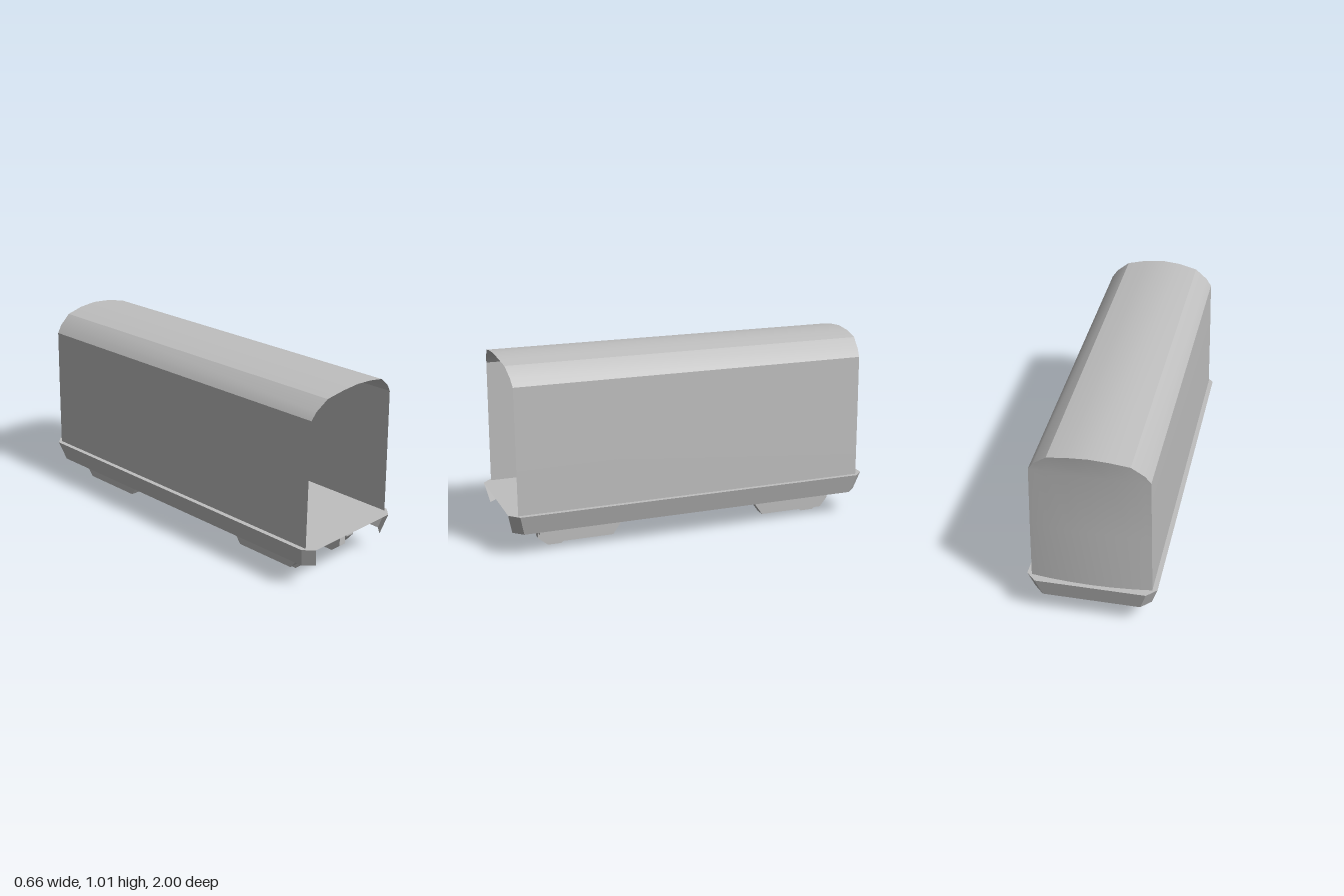
import * as THREE from 'three';
import { toCreasedNormals } from 'three/addons/utils/BufferGeometryUtils.js';

// Surface through rows of [x, y, z] points
function loft(rows, crease = 0.35) {
  const n = rows[0].length, index = [];
  for (let r = 0; r < rows.length - 1; r++) {
    for (let c = 0; c < n - 1; c++) {
      const a = r * n + c, b = a + n;
      index.push(a, a + 1, b, a + 1, b + 1, b);
    }
  }
  const g = new THREE.BufferGeometry();
  g.setAttribute('position', new THREE.Float32BufferAttribute(rows.flat(2), 3));
  g.setIndex(index);
  return toCreasedNormals(g, crease);
}

export function createModel() {
  const group = new THREE.Group();
  const grey = new THREE.MeshStandardMaterial({ color: 0xbfbfbf, side: THREE.DoubleSide });
  grey.name = 'plain grey';
  const add = (name, geometry) => {
    const mesh = new THREE.Mesh(geometry, grey);
    mesh.name = name;
    group.add(mesh);
    return mesh;
  };

  // Side walls and arched roof in one shell, open at the front
  const half = [[0.293, 0.89], [0.265, 0.93], [0.2, 0.98], [0.1, 1.0]];
  const mirror = (pts) => pts.map(([x, y]) => [-x, y]);
  const arch = [...mirror(half), [0, 1.008], ...[...half].reverse()];
  const wall = [[0.305, 0.23], [0.3, 0.56]];
  const profile = [...mirror(wall), ...arch, ...[...wall].reverse()];
  const endZ = (x, bulge = 0.03, w = 0.293) => 0.955 + bulge * Math.max(0, 1 - (x / w) ** 2);
  add('bodyShell', loft([-1, 1].map((s) => profile.map(([x, y]) => [x, y, s * endZ(x)]))));

  // Bowed rear wall, its top band leaning out to meet the roof
  const rearRows = [[0.23, 0.305, 0.022], [0.56, 0.3, 0.02], [0.89, 0.293, 0.012]].map(
    ([y, w, bulge]) => arch.map(([x]) => [x / 0.293 * w, y, -endZ(x, bulge)]));
  rearRows.push(arch.map(([x, y]) => [x, y, -endZ(x)]));
  add('rearWall', loft(rearRows.map((row) => row.reverse())));

  // Floor with cut corners
  const outline = [[0.28, 1], [0.33, 0.95], [0.33, -0.95], [0.28, -1],
    [-0.28, -1], [-0.33, -0.95], [-0.33, 0.95], [-0.28, 1]];
  const floor = new THREE.ShapeGeometry(new THREE.Shape(outline.map(([x, z]) => new THREE.Vector2(x, -z))));
  add('floor', floor.rotateX(-Math.PI / 2)).position.y = 0.23;

  // Skirt tapering inwards below the floor, open at the front
  add('skirt', loft([
    outline.map(([x, z]) => [x, 0.23, z]),
    outline.map(([x, z]) => [x - Math.sign(x) * 0.032, 0.125, z - Math.sign(z) * 0.025]),
  ]));

  // Bogies: a side frame and one octagonal wheel at each corner
  const frameShape = new THREE.Shape([[0.39, 0.135], [0.39, 0.09], [0.43, 0.033], [0.785, 0.033],
    [0.825, 0.08], [0.825, 0.135]].map(([z, y]) => new THREE.Vector2(z, y)));
  const frame = new THREE.ExtrudeGeometry(frameShape, { depth: 0.055, bevelEnabled: false });
  frame.translate(0, 0, -0.0275).rotateY(-Math.PI / 2);
  const wheel = toCreasedNormals(new THREE.CylinderGeometry(0.0785, 0.0785, 0.043, 8), 0.35);
  wheel.rotateY(Math.PI / 8).rotateZ(Math.PI / 2).scale(1, 1, 1.2);
  for (const sx of [-1, 1]) {
    for (const sz of [-1, 1]) {
      const f = add('bogieFrame', frame);
      f.position.x = sx * 0.193;
      if (sz < 0) f.rotation.y = Math.PI;
      add('wheel', wheel).position.set(sx * 0.141, 0.0725, sz * 0.733);
    }
  }
  return group;
}
